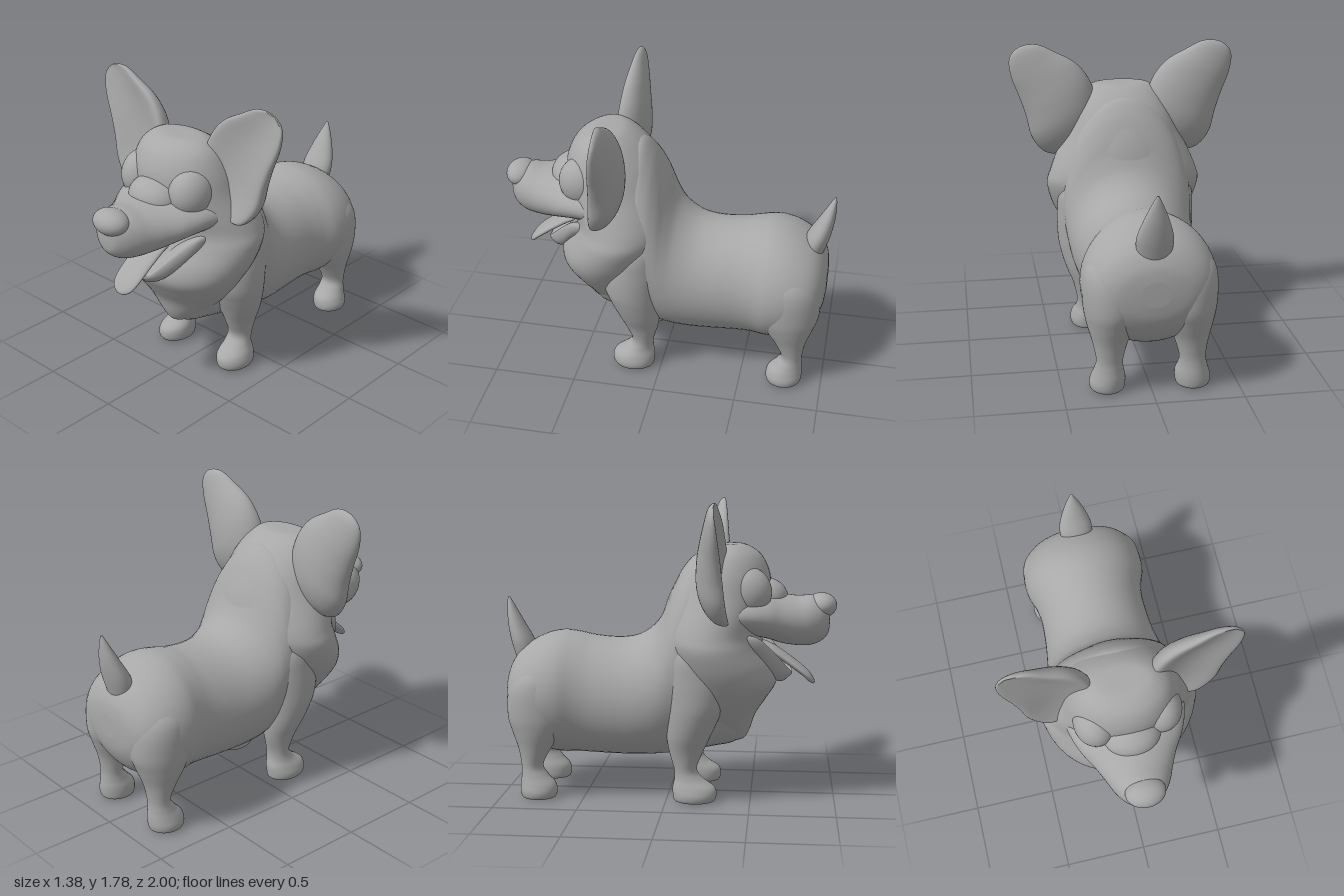
import * as THREE from 'three';

const SEG = 48;
const STEPS = 6;
const coat = new THREE.MeshStandardMaterial({ color: 0xa8a8a8 });
coat.name = 'plain grey';

// Smooth blend through four neighbouring station values
function spline(p0, p1, p2, p3, t) {
  return 0.5 * (2 * p1 + (p2 - p0) * t + (2 * p0 - 5 * p1 + 4 * p2 - p3) * t * t
    + (3 * p1 - p0 - 3 * p2 + p3) * t * t * t);
}

// Skin over elliptical rings. Station: [x, y, z, radius across, radius other way, tilt].
// Tilt 0 = upright ring (run towards +z); tilt PI/2 = level ring (run downwards).
// cup hollows the far half of every ring; power < 1 makes rings squarer.
function loft(name, stations, { cup = 0, power = 1 } = {}) {
  const rings = [];
  const n = stations.length;
  for (let i = 0; i < n - 1; i++) {
    const at = (k) => stations[Math.min(n - 1, Math.max(0, k))];
    for (let s = 0; s < STEPS || (i === n - 2 && s === STEPS); s++) {
      rings.push(stations[i].map((_, c) =>
        spline(at(i - 1)[c], at(i)[c], at(i + 1)[c], at(i + 2)[c], s / STEPS)));
    }
  }
  const pos = [];
  const index = [];
  const bend = (v) => Math.sign(v) * Math.abs(v) ** power;
  rings.forEach(([x, y, z, a, b, tilt]) => {
    for (let j = 0; j < SEG; j++) {
      const angle = (j / SEG) * Math.PI * 2;
      const u = Math.max(a, 0.002) * bend(Math.cos(angle));
      const sn = bend(Math.sin(angle));
      const v = Math.max(b, 0.002) * (sn - (sn > 0 ? cup * sn * sn : 0));
      pos.push(x + u, y + v * Math.cos(tilt), z + v * Math.sin(tilt));
    }
  });
  for (let r = 0; r < rings.length - 1; r++) {
    for (let j = 0; j < SEG; j++) {
      const k = (j + 1) % SEG;
      const A = r * SEG + j, B = r * SEG + k, C = A + SEG, D = B + SEG;
      index.push(A, B, D, A, D, C);
    }
  }
  // End caps
  const last = rings.length - 1;
  const first = pos.length / 3;
  pos.push(...rings[0].slice(0, 3), ...rings[last].slice(0, 3));
  for (let j = 0; j < SEG; j++) {
    const k = (j + 1) % SEG;
    index.push(first, k, j, first + 1, last * SEG + j, last * SEG + k);
  }
  const geo = new THREE.BufferGeometry();
  geo.setAttribute('position', new THREE.Float32BufferAttribute(pos, 3));
  geo.setIndex(index);
  geo.computeVertexNormals();
  const mesh = new THREE.Mesh(geo, coat);
  mesh.name = name;
  return mesh;
}

// Rows [z, bottom, top, half width] -> upright rings
const along = (rows) => rows.map(([z, lo, hi, w]) => [0, (lo + hi) / 2, z, w, (hi - lo) / 2, 0]);
// Rows [y, x, z, rx, rz] -> level rings, mirrored by side
const down = (rows, side = 1) => rows.map(([y, x, z, rx, rz]) => [x * side, y, z, rx, rz, Math.PI / 2]);

function ellipsoid(name, x, y, z, rx, ry, rz) {
  const mesh = new THREE.Mesh(new THREE.SphereGeometry(1, 40, 28), coat);
  mesh.scale.set(rx, ry, rz);
  mesh.position.set(x, y, z);
  mesh.name = name;
  return mesh;
}

export function createModel() {
  const dog = new THREE.Group();
  dog.name = 'dog';

  // Barrel of the body, swelling at the rump and rising into the back of the neck
  dog.add(loft('torso', along([
    [-0.98, 0.56, 0.7, 0.08], [-0.965, 0.47, 0.78, 0.21], [-0.92, 0.38, 0.86, 0.3],
    [-0.85, 0.31, 0.92, 0.355], [-0.75, 0.26, 0.97, 0.383], [-0.65, 0.24, 0.99, 0.38],
    [-0.55, 0.24, 0.98, 0.347], [-0.45, 0.235, 0.96, 0.333],
    [-0.3, 0.23, 0.95, 0.34], [-0.18, 0.23, 0.972, 0.355], [-0.08, 0.235, 1.045, 0.37],
    [-0.02, 0.24, 1.15, 0.38], [0.03, 0.245, 1.28, 0.388], [0.09, 0.255, 1.39, 0.392],
    [0.17, 0.27, 1.46, 0.375], [0.28, 0.29, 1.4, 0.33], [0.4, 0.32, 1.1, 0.24],
    [0.46, 0.4, 0.9, 0.12],
  ])));

  // Skull, cheeks and pointed chest ruff: [y, front z, back z, half width]
  dog.add(loft('headAndRuff', down([
    [1.522, 0.41, 0.32, 0.09], [1.512, 0.47, 0.25, 0.175], [1.455, 0.55, 0.165, 0.255],
    [1.35, 0.6, 0.07, 0.315], [1.22, 0.605, 0.0, 0.36], [1.1, 0.575, -0.04, 0.415],
    [1.0, 0.55, -0.06, 0.455], [0.92, 0.57, -0.05, 0.475], [0.8, 0.635, -0.02, 0.45],
    [0.7, 0.648, 0.03, 0.405], [0.6, 0.59, 0.08, 0.34], [0.5, 0.525, 0.14, 0.255],
    [0.4, 0.49, 0.2, 0.15], [0.345, 0.46, 0.28, 0.075], [0.325, 0.42, 0.32, 0.03],
  ].map(([y, f, k, w]) => [y, 0, (f + k) / 2, w, (f - k) / 2]))));

  // Muzzle, bridge and nose
  dog.add(loft('muzzle', along([
    [0.2, 1.0, 1.16, 0.3], [0.38, 0.98, 1.24, 0.35], [0.5, 0.975, 1.25, 0.335],
    [0.6, 0.955, 1.24, 0.295],
    [0.68, 0.93, 1.225, 0.245], [0.77, 0.917, 1.215, 0.2], [0.85, 0.92, 1.22, 0.165],
    [0.91, 0.945, 1.205, 0.125], [0.95, 0.99, 1.17, 0.075], [0.96, 1.05, 1.12, 0.02],
  ])));
  dog.add(ellipsoid('muzzleBridge', 0, 1.2, 0.57, 0.17, 0.12, 0.14));
  dog.add(ellipsoid('nose', 0, 1.158, 0.91, 0.117, 0.075, 0.09));

  // Open lower jaw and hanging tongue
  dog.add(loft('lowerJaw', [
    [0, 0.985, 0.47, 0.3, 0.13, 0], [0, 0.96, 0.54, 0.28, 0.16, 0],
    [0, 0.89, 0.61, 0.22, 0.17, 0], [0, 0.82, 0.675, 0.155, 0.125, 0],
    [0, 0.775, 0.72, 0.1, 0.05, 0], [0, 0.755, 0.74, 0.04, 0.012, 0],
  ], { cup: 1.4 }));
  dog.add(loft('tongue', [
    [0, 0.94, 0.48, 0.09, 0.025, 0.3], [0, 0.9, 0.6, 0.095, 0.026, 0.5],
    [0, 0.83, 0.71, 0.093, 0.025, 0.62], [0, 0.755, 0.81, 0.088, 0.022, 0.72],
    [0, 0.71, 0.853, 0.065, 0.018, 0.8], [0, 0.688, 0.872, 0.02, 0.008, 0.8],
  ], { power: 0.9 }));

  // Tail
  dog.add(loft('tail', down([
    [1.19, 0, -0.99, 0.006, 0.006], [1.13, 0, -0.975, 0.035, 0.025],
    [1.03, 0, -0.945, 0.075, 0.05], [0.92, 0, -0.905, 0.103, 0.07], [0.8, 0, -0.87, 0.09, 0.07],
  ])));

  for (const side of [1, -1]) {
    const label = side > 0 ? 'left' : 'right';

    // Closed bulging eye, mostly sunk in the face
    dog.add(ellipsoid(label + 'Eye', side * 0.19, 1.25, 0.47, 0.125, 0.15, 0.145));

    // Cupped ear, leaning outwards
    const ear = loft(label + 'Ear', down([
      [0.565, 0.005, 0.02, 0.015, 0.01], [0.548, 0.005, 0.02, 0.065, 0.025],
      [0.505, -0.005, 0.023, 0.112, 0.045], [0.42, -0.015, 0.028, 0.155, 0.07],
      [0.3, -0.036, 0.033, 0.2, 0.1], [0.18, -0.03, 0.038, 0.225, 0.125],
      [0.06, 0, 0.047, 0.236, 0.138], [-0.04, 0.015, 0.06, 0.22, 0.128],
      [-0.11, 0.035, 0.075, 0.165, 0.095], [-0.15, 0.055, 0.08, 0.06, 0.04],
    ], side), { cup: 1 });
    ear.position.set(side * 0.33, 1.28, 0.275);
    ear.rotation.z = -side * 0.558;
    dog.add(ear);

    // Front leg with shoulder and paw
    dog.add(loft(label + 'FrontLeg', down([
      [1.05, 0.22, 0.12, 0.08, 0.07], [0.9, 0.24, 0.14, 0.165, 0.14],
      [0.75, 0.25, 0.165, 0.174, 0.18], [0.6, 0.25, 0.17, 0.172, 0.175],
      [0.5, 0.25, 0.155, 0.155, 0.155],
      [0.4, 0.25, 0.135, 0.125, 0.13], [0.3, 0.245, 0.12, 0.09, 0.1],
      [0.2, 0.237, 0.115, 0.076, 0.068], [0.14, 0.238, 0.135, 0.081, 0.085],
      [0.09, 0.245, 0.165, 0.096, 0.125], [0.045, 0.25, 0.172, 0.102, 0.13],
      [0.01, 0.25, 0.17, 0.093, 0.12], [0, 0.25, 0.17, 0.07, 0.09],
    ], side)));

    // Hind leg with haunch and paw
    dog.add(loft(label + 'HindLeg', down([
      [0.85, 0.15, -0.74, 0.1, 0.1], [0.75, 0.185, -0.755, 0.165, 0.16],
      [0.65, 0.2, -0.765, 0.18, 0.19], [0.5, 0.21, -0.768, 0.167, 0.19],
      [0.4, 0.22, -0.778, 0.138, 0.15], [0.3, 0.23, -0.795, 0.1, 0.098],
      [0.2, 0.235, -0.81, 0.076, 0.065], [0.14, 0.238, -0.795, 0.082, 0.08],
      [0.09, 0.24, -0.775, 0.096, 0.105], [0.045, 0.245, -0.77, 0.102, 0.11],
      [0.01, 0.245, -0.77, 0.094, 0.102], [0, 0.245, -0.77, 0.07, 0.08],
    ], side)));
  }
  return dog;
}
